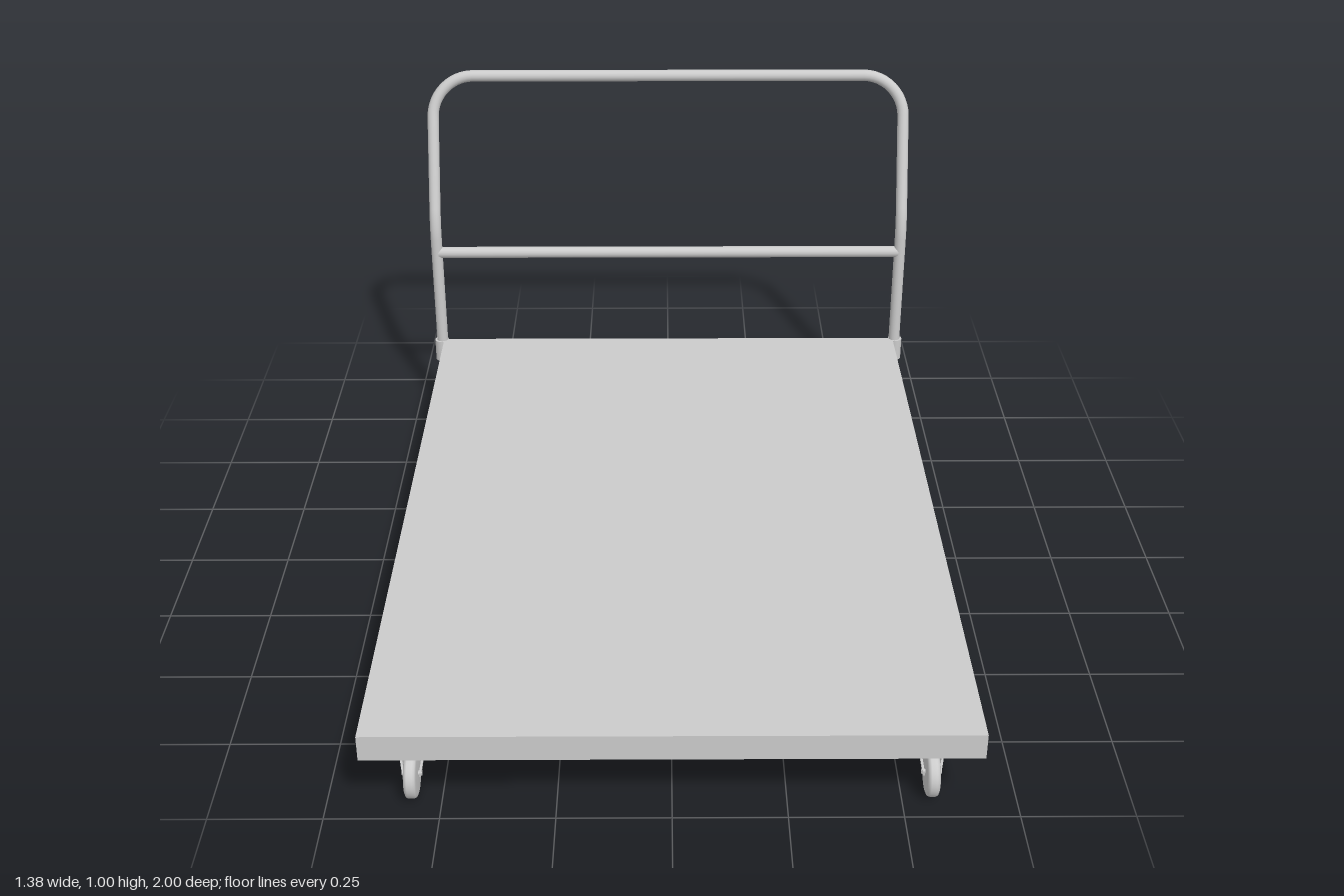
import * as THREE from 'three';

const material = new THREE.MeshStandardMaterial({ color: 0xcccccc, side: THREE.DoubleSide });

function add(parent, name, geometry, x = 0, y = 0, z = 0) {
  const mesh = new THREE.Mesh(geometry, material);
  mesh.name = name;
  mesh.position.set(x, y, z);
  parent.add(mesh);
  return mesh;
}

// Polyline with each inner corner rounded by a given radius
function roundedPath(points, radii) {
  const path = new THREE.CurvePath();
  let start = points[0];
  for (let i = 1; i < points.length - 1; i++) {
    const p = points[i];
    const toward = (q) => p.clone().add(q.clone().sub(p).setLength(radii[i - 1]));
    const a = toward(points[i - 1]);
    const b = toward(points[i + 1]);
    path.add(new THREE.LineCurve3(start, a));
    // cubic approximation of a circular arc
    path.add(new THREE.CubicBezierCurve3(a, a.clone().lerp(p, 0.55), b.clone().lerp(p, 0.55), b));
    start = b;
  }
  path.add(new THREE.LineCurve3(start, points[points.length - 1]));
  return path;
}

// Swivel caster, origin on the ground below its stem, wheel trailing to +z
function createCaster() {
  const caster = new THREE.Group();
  caster.name = 'caster';
  const axleY = 0.055, axleZ = 0.035;

  add(caster, 'stem', new THREE.CylinderGeometry(0.014, 0.014, 0.05, 16), 0, 0.155, 0);
  const bearing = add(caster, 'bearing', new THREE.CylinderGeometry(0.025, 0.025, 0.01, 20), 0, 0.13, 0);
  bearing.rotation.x = -0.15;

  // Wheel with slightly rounded tread
  const profile = [[0, -0.014], [0.046, -0.014], [0.053, -0.011], [0.055, -0.006],
    [0.055, 0.006], [0.053, 0.011], [0.046, 0.014], [0, 0.014]];
  const tyre = new THREE.LatheGeometry(profile.map(([r, h]) => new THREE.Vector2(r, h)), 32);
  const wheel = add(caster, 'wheel', tyre, 0, axleY, axleZ);
  wheel.rotation.z = Math.PI / 2;
  const axle = add(caster, 'axle', new THREE.CylinderGeometry(0.006, 0.006, 0.044, 12), 0, axleY, axleZ);
  axle.rotation.z = Math.PI / 2;

  // Fork crown and side plates, leaning in towards the axle
  const crown = add(caster, 'forkCrown', new THREE.BoxGeometry(0.058, 0.008, 0.052), 0, 0.121, 0.002);
  crown.rotation.x = -0.2;
  const outline = [[0.03, 0.124], [-0.024, 0.118], [-0.021, 0.108], [-0.004, 0.096],
    [0.03, 0.049], [0.042, 0.049], [0.043, 0.06], [0.024, 0.095]];
  const shape = new THREE.Shape(outline.map(([z, y]) => new THREE.Vector2(z, y)));
  for (const side of [-1, 1]) {
    const plate = new THREE.ExtrudeGeometry(shape, { depth: 0.005, bevelEnabled: false });
    plate.rotateY(-Math.PI / 2);
    const p = plate.attributes.position;
    for (let i = 0; i < p.count; i++) {
      const lean = THREE.MathUtils.clamp((p.getY(i) - 0.055) / 0.05, 0, 1);
      p.setX(i, p.getX(i) + 0.0025 + side * (0.0175 + 0.009 * lean));
    }
    plate.computeVertexNormals();
    add(caster, 'forkPlate', plate);
  }
  return caster;
}

export function createModel() {
  const model = new THREE.Group();
  model.name = 'platformCart';

  // Deck: slab with a shallow rim underneath
  const halfW = 0.663, back = -0.84, front = 1, rim = 0.01;
  const length = front - back, midZ = (front + back) / 2;
  const deck = new THREE.Group();
  deck.name = 'deck';
  model.add(deck);
  add(deck, 'platform', new THREE.BoxGeometry(2 * halfW, 0.042, length), 0, 0.201, midZ);
  for (const s of [-1, 1]) {
    add(deck, 'sideRim', new THREE.BoxGeometry(rim, 0.02, length), s * (halfW - rim / 2), 0.17, midZ);
    add(deck, 'endRim', new THREE.BoxGeometry(2 * (halfW - rim), 0.02, rim),
      0, 0.17, midZ + s * (length / 2 - rim / 2));
  }

  // Handle: one bent tube, upright at the base and raked back above
  const handle = new THREE.Group();
  handle.name = 'handle';
  model.add(handle);
  const r = 0.016, postX = 0.668, postZ = -0.84;
  const v = (x, y, z) => new THREE.Vector3(x, y, z);
  const path = roundedPath([
    v(-postX, 0.165, postZ), v(-postX, 0.59, postZ), v(-postX, 0.984, -0.984),
    v(postX, 0.984, -0.984), v(postX, 0.59, postZ), v(postX, 0.165, postZ),
  ], [0.04, 0.115, 0.115, 0.04]);
  add(handle, 'handleTube', new THREE.TubeGeometry(path, 200, r, 16));
  const bar = add(handle, 'crossBar', new THREE.CylinderGeometry(r, r, 2 * postX - 0.01, 16), 0, 0.502, postZ);
  bar.rotation.z = Math.PI / 2;

  // Sockets holding the posts at the rear corners
  for (const s of [-1, 1]) {
    add(handle, 'postSocket', new THREE.CylinderGeometry(0.02, 0.02, 0.063, 16), s * 0.67, 0.1905, postZ + 0.001);
  }

  // Four casters
  for (const x of [-0.565, 0.565]) {
    for (const z of [-0.73, 0.88]) {
      const caster = createCaster();
      caster.position.set(x, 0, z);
      model.add(caster);
    }
  }
  return model;
}
